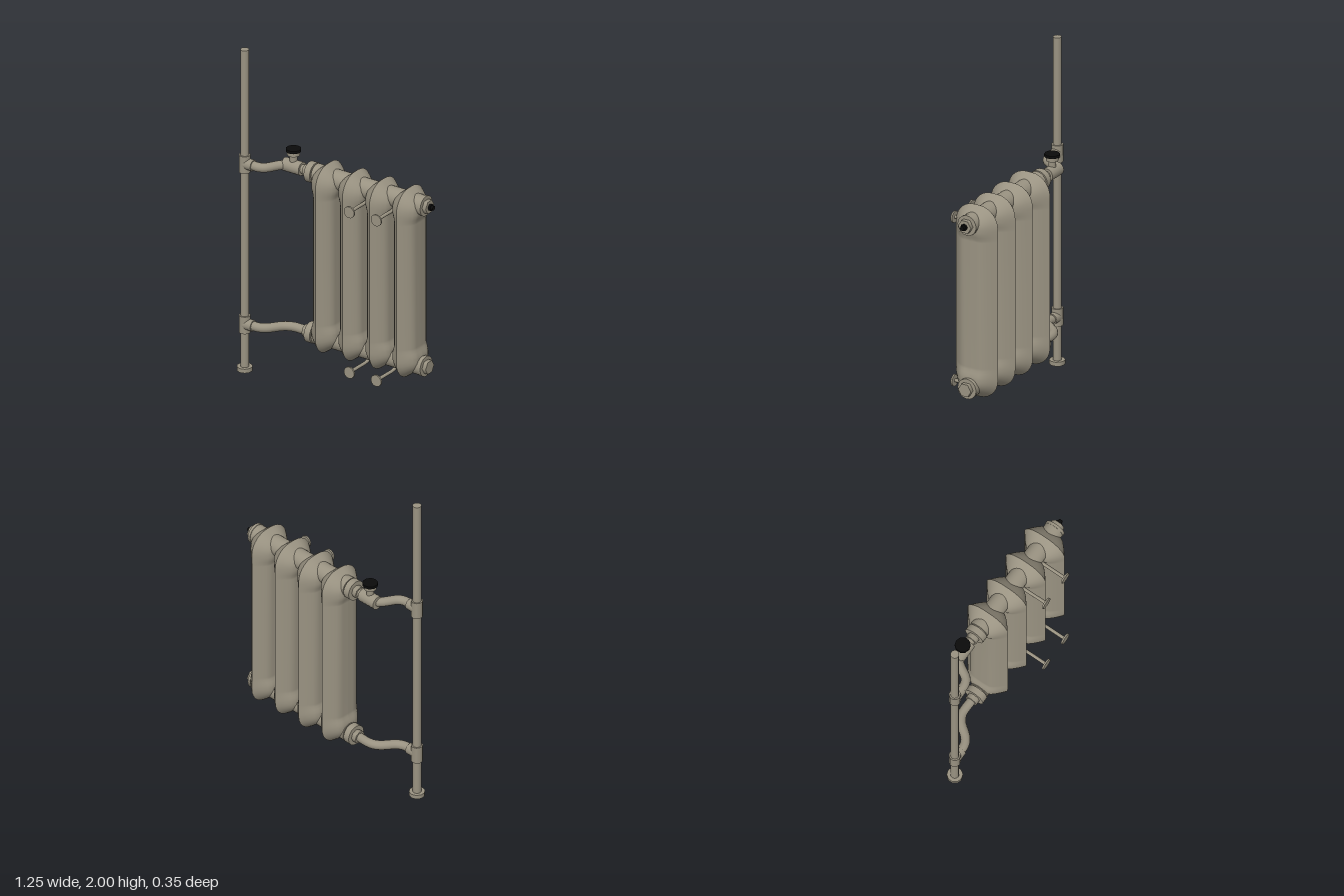
import * as THREE from 'three';

const paint = new THREE.MeshStandardMaterial({ color: 0x9a9382 });
paint.name = 'warm grey paint';
const black = new THREE.MeshStandardMaterial({ color: 0x0b0b0b });
black.name = 'black plastic';

const TOP = 1.29, LOW = 0.29, HUB_Z = -0.037;   // hub axes
const STILE_X = -0.585, STILE_Z = 0.085;        // upright pipe

function add(parent, name, geometry, material = paint) {
  const mesh = new THREE.Mesh(geometry, material);
  mesh.name = name;
  parent.add(mesh);
  return mesh;
}

// Cylinder along x from x0 to x1
function barX(parent, name, x0, x1, r, y, z, sides = 16, material = paint) {
  const g = new THREE.CylinderGeometry(r, r, x1 - x0, sides).rotateZ(Math.PI / 2);
  return add(parent, name, g.translate((x0 + x1) / 2, y, z), material);
}

// Cylinder along y from y0 to y1
function barY(parent, name, y0, y1, r, x, z, sides = 16, material = paint) {
  const g = new THREE.CylinderGeometry(r, r, y1 - y0, sides);
  return add(parent, name, g.translate(x, (y0 + y1) / 2, z), material);
}

// Rounded-rectangle outline in z,y, inset by d
function outline(d) {
  const halfZ = 0.138 - d, halfY = 0.585 - d, r = Math.max(0.12 - d, 0);
  const cz = halfZ - r, cy = halfY - r;
  const rows = [-0.45, -0.435, -0.417, -0.4, -0.385, 0, 0.385, 0.4, 0.417, 0.435, 0.45];
  const pts = [];
  for (const side of [1, -1]) {
    for (const y of rows) pts.push([side * halfZ, side * THREE.MathUtils.clamp(y, -cy, cy)]);
    for (const corner of [0, 1]) {
      for (let i = 0; i <= 7; i++) {
        const a = (corner + i / 7) * Math.PI / 2;
        const z = (corner ? -cz : cz) + r * Math.cos(a);
        pts.push([side * z, side * (cy + r * Math.sin(a))]);
      }
    }
  }
  return pts;
}

// One half of a radiator section: nested outlines that bulge sideways and flare at the hubs
function sectionHalf(sign) {
  const steps = [[0, 0], [0.02, 0.026], [0.04, 0.049], [0.06, 0.069], [0.08, 0.081], [0.1, 0.083], [0.138, 0.084]];
  const pos = [], index = [];
  let n = 0;
  for (const [d, w] of steps) {
    const ring = outline(d);
    n = ring.length;
    for (const [z, y] of ring) {
      const flare = 0.82 + 0.18 * THREE.MathUtils.smoothstep(Math.abs(y), 0.385, 0.448);
      pos.push(sign * w * flare, y, z);
    }
  }
  for (let k = 0; k < steps.length - 1; k++) {
    for (let i = 0; i < n; i++) {
      const a = k * n + i, b = k * n + (i + 1) % n, c = a + n, e = b + n;
      if (sign > 0) index.push(a, c, b, b, c, e);
      else index.push(a, b, c, b, e, c);
    }
  }
  const g = new THREE.BufferGeometry();
  g.setAttribute('position', new THREE.Float32BufferAttribute(pos, 3));
  g.setIndex(index);
  g.computeVertexNormals();
  return g;
}

function pipe(parent, name, points, r) {
  const curve = new THREE.CatmullRomCurve3(points.map(p => new THREE.Vector3(...p)));
  return add(parent, name, new THREE.TubeGeometry(curve, 28, r, 12));
}

// Wall stay: hooked rod under the hub with a round foot
function wallStay(parent, x, y) {
  const stay = new THREE.Group();
  stay.name = 'wallStay';
  pipe(stay, 'stayRod', [[x, y + 0.03, HUB_Z], [x, y + 0.008, -0.02], [x, y, 0.01], [x, y, 0.08], [x, y, 0.166]], 0.01);
  const foot = new THREE.CylinderGeometry(0.035, 0.035, 0.01, 20).rotateX(Math.PI / 2);
  add(stay, 'stayFoot', foot.translate(x, y, 0.168));
  parent.add(stay);
}

export function createModel() {
  const model = new THREE.Group();
  model.name = 'radiator';

  // Four cast sections
  const halves = [sectionHalf(1), sectionHalf(-1)];
  for (let i = 0; i < 4; i++) {
    const section = new THREE.Group();
    section.name = 'section';
    for (const g of halves) add(section, 'sectionShell', g);
    section.position.set(-0.09 + 0.185 * i, 0.795, HUB_Z);
    model.add(section);
  }

  // Hubs, bushings and end plugs at both levels
  for (const y of [TOP, LOW]) {
    barX(model, 'hub', -0.177, 0.557, 0.058, y, HUB_Z, 24);
    barX(model, 'leftBushing', -0.224, -0.184, 0.061, y, HUB_Z, 20);
    barX(model, 'bushingSeat', -0.186, -0.172, 0.05, y, HUB_Z, 20);
    barX(model, 'rightBushing', 0.557, 0.574, 0.061, y, HUB_Z, 20);
    barX(model, 'endPlug', 0.574, 0.599, 0.042, y, HUB_Z, 6);
    for (const x of [0.19, 0.375]) wallStay(model, x, y - 0.063);
  }

  // Bleed screw on the upper plug
  barX(model, 'bleedScrew', 0.599, 0.612, 0.02, TOP, HUB_Z, 8, black);
  barX(model, 'bleedScrewTip', 0.612, 0.626, 0.013, TOP, HUB_Z, 8, black);

  // Upright pipe with floor flange and tees
  barY(model, 'uprightPipe', 0, 2, 0.025, STILE_X, STILE_Z, 12);
  barY(model, 'floorFlange', 0, 0.025, 0.046, STILE_X, STILE_Z, 10);
  for (const y of [TOP, LOW]) {
    barY(model, 'tee', y - 0.053, y + 0.053, 0.034, STILE_X, STILE_Z, 10);
    barX(model, 'teeArm', STILE_X, -0.525, 0.034, y, STILE_Z, 10);
  }

  // Upper branch: bent pipe, valve body, stem, handle and union nut
  pipe(model, 'upperBranch', [[-0.55, TOP, 0.085], [-0.49, TOP, 0.085], [-0.455, TOP, 0.068],
    [-0.405, TOP, -0.008], [-0.375, TOP, -0.034], [-0.34, TOP, HUB_Z]], 0.027);
  barX(model, 'valveBody', -0.395, -0.275, 0.04, TOP, HUB_Z);
  barX(model, 'valveTail', -0.28, -0.25, 0.026, TOP, HUB_Z);
  barX(model, 'unionNut', -0.254, -0.222, 0.036, TOP, HUB_Z, 8);
  barY(model, 'valveStem', TOP, 1.365, 0.022, -0.335, HUB_Z);
  barY(model, 'valveCollar', 1.362, 1.388, 0.036, -0.335, HUB_Z);
  barY(model, 'valveHandle', 1.386, 1.402, 0.045, -0.335, HUB_Z, 10, black);

  // Lower branch: gently bent pipe and union nut
  pipe(model, 'lowerBranch', [[-0.55, LOW, 0.085], [-0.49, LOW, 0.083], [-0.45, LOW, 0.063],
    [-0.385, LOW, -0.012], [-0.34, LOW, -0.035], [-0.24, LOW, HUB_Z]], 0.027);
  barX(model, 'unionNut', -0.254, -0.222, 0.038, LOW, HUB_Z, 8);

  return model;
}
